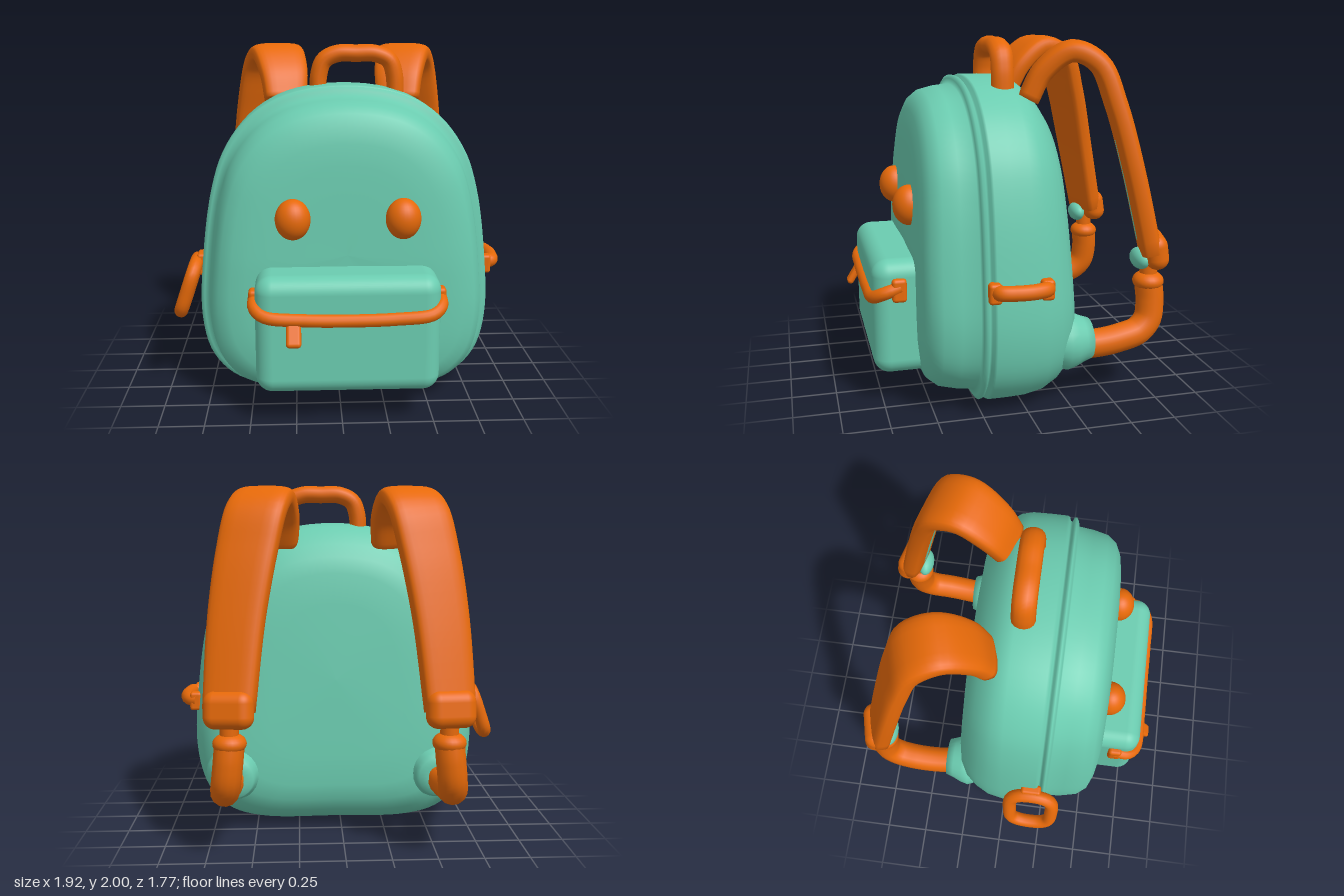
import * as THREE from 'three';
import { RoundedBoxGeometry } from 'three/addons/geometries/RoundedBoxGeometry.js';

const teal = new THREE.MeshStandardMaterial({ color: 0x6bccb0, side: THREE.DoubleSide });
teal.name = 'teal fabric';
const orange = new THREE.MeshStandardMaterial({ color: 0xe66909 });
orange.name = 'orange trim';
const V = (x, y, z) => new THREE.Vector3(x, y, z);
const CX = 0.035; // the bag's own middle line

// Skin over a list of closed rings, each with the same number of points.
function loft(rings) {
  const n = rings[0].length, pos = [], idx = [];
  rings.forEach(r => r.forEach(p => pos.push(p.x, p.y, p.z)));
  for (let i = 0; i < rings.length - 1; i++) {
    for (let j = 0; j < n; j++) {
      const a = i * n + j, c = i * n + (j + 1) % n;
      idx.push(a, a + n, c, c, a + n, c + n);
    }
  }
  const g = new THREE.BufferGeometry();
  g.setAttribute('position', new THREE.Float32BufferAttribute(pos, 3));
  g.setIndex(idx);
  g.computeVertexNormals();
  return g;
}

// Rounded flat band swept along a curve; width lies along the given axis, ends are capped.
function band(curve, axis, width, thick, steps = 36, sides = 24) {
  const stations = [[0, 0.01], [0, 0.8]];
  for (let i = 0; i <= steps; i++) stations.push([i / steps, 1]);
  stations.push([1, 0.8], [1, 0.01]);
  return loft(stations.map(([u, k]) => {
    const p = curve.getPoint(u), t = curve.getTangent(u);
    const w = axis.clone().addScaledVector(t, -t.dot(axis)).normalize();
    const n = t.clone().cross(w);
    const ring = [];
    for (let j = 0; j < sides; j++) {
      const a = -j / sides * Math.PI * 2, c = Math.cos(a), s = Math.sin(a);
      const q = v => Math.sign(v) * Math.pow(Math.abs(v), 0.6);
      ring.push(p.clone().addScaledVector(w, q(c) * width(u) / 2 * k).addScaledVector(n, q(s) * thick / 2 * k));
    }
    return ring;
  }));
}

const tube = (points, r, closed = false) =>
  new THREE.TubeGeometry(new THREE.CatmullRomCurve3(points, closed), 48, r, 14, closed);

// Main bag: one outline, inset and stepped from front to back.
function bodyGeometry() {
  const half = [[0.45, 0.012], [0.65, 0.075], [0.78, 0.22], [0.835, 0.45], [0.82, 0.8],
    [0.76, 1.2], [0.68, 1.43], [0.53, 1.62], [0.32, 1.74]];
  const pts = [V(0, 0.005, 0), ...half.map(([x, y]) => V(x, y, 0)), V(0, 1.785, 0),
    ...half.slice().reverse().map(([x, y]) => V(-x, y, 0))];
  const outline = new THREE.CatmullRomCurve3(pts, true).getPoints(96).slice(0, 96);
  const steps = [[0.568, 0.9], [0.572, 0.6], [0.573, 0.4], [0.566, 0.28], [0.55, 0.19], [0.52, 0.125],
    [0.465, 0.085], [0.37, 0.065], [0.275, 0.055], [0.268, 0.025], [0.255, 0.004], [0.24, 0.008],
    [0.232, 0.03], [0.222, 0.03], [0.214, 0.006], [0.2, 0], [0.1, 0], [0, 0.003], [-0.08, 0.02],
    [-0.15, 0.06], [-0.21, 0.115], [-0.255, 0.19], [-0.275, 0.28], [-0.285, 0.45], [-0.29, 0.9]];
  return loft(steps.map(([z, d]) => outline.map(p => {
    const y = 0.9 + (p.y - 0.9) * Math.max(0, 1 - d / 0.89);
    const back = (y - 0.9) * 0.07 * Math.min(1, Math.max(0, -z / 0.2));
    const front = Math.max(0, y - 0.85) * 0.04 * Math.min(1, Math.max(0, (z - 0.3) / 0.2));
    return V(CX + p.x * Math.max(0, 1 - d / 0.835), y, z + back - front);
  })));
}

export function createModel() {
  const root = new THREE.Group();
  root.name = 'backpack';
  const add = (name, geo, mat, x = 0, y = 0, z = 0, parent = root) => {
    const m = new THREE.Mesh(geo, mat);
    m.name = name;
    m.position.set(x, y, z);
    parent.add(m);
    return m;
  };

  add('body', bodyGeometry(), teal);
  add('frontPocket', new RoundedBoxGeometry(0.99, 0.65, 0.36, 6, 0.09), teal, 0.03, 0.515, 0.62);

  // Zip across the pocket, with end tabs and a pull
  add('pocketZip', tube([V(-0.468, 0.7, 0.65), V(-0.465, 0.67, 0.74), V(-0.41, 0.638, 0.79), V(-0.2, 0.62, 0.8),
    V(0.03, 0.615, 0.8), V(0.27, 0.62, 0.8), V(0.47, 0.638, 0.79), V(0.525, 0.67, 0.74), V(0.528, 0.7, 0.65)], 0.036), orange);
  for (const x of [-0.475, 0.535])
    add('zipEnd', new RoundedBoxGeometry(0.05, 0.13, 0.08, 3, 0.02), orange, x, 0.685, 0.66);
  const pull = add('zipPull', new RoundedBoxGeometry(0.08, 0.13, 0.04, 4, 0.019), orange, -0.26, 0.55, 0.835);
  pull.rotation.x = -0.55;

  // Eyes
  for (const x of [-0.26, 0.335])
    add('eye', new THREE.SphereGeometry(1, 28, 20), orange, x, 1.105, 0.57).scale.set(0.096, 0.112, 0.09);

  // Carry handle
  const handle = add('topHandle', tube([V(-0.11, 1.7, 0), V(-0.105, 1.83, 0), V(-0.075, 1.91, 0), V(0, 1.948, 0),
    V(0.11, 1.95, 0), V(0.22, 1.948, 0), V(0.3, 1.91, 0), V(0.33, 1.83, 0), V(0.338, 1.7, 0)], 0.05), orange, 0, 0, 0.04);
  handle.scale.z = 1.3;

  // Shoulder straps, each with buckle, collar, lower strap and anchor
  for (const s of [-1, 1]) {
    const strap = new THREE.Group();
    strap.name = s > 0 ? 'leftStrap' : 'rightStrap';
    root.add(strap);
    const zo = s > 0 ? 0.015 : -0.015;
    const P = (x, y, z) => V(CX + s * x, y, z + zo);
    const axis = V(1, 0, s * 0.28); // straps turn slightly outward
    const path = new THREE.CatmullRomCurve3([P(0.335, 1.67, -0.11), P(0.345, 1.82, -0.19), P(0.385, 1.93, -0.34),
      P(0.43, 1.865, -0.48), P(0.48, 1.65, -0.565), P(0.535, 1.3, -0.655), P(0.575, 0.83, -0.76)]);
    add('shoulderPad', band(path, axis, u => 0.25 + 0.03 * u + 0.07 * Math.sin(u * Math.PI), 0.12), orange, 0, 0, 0, strap);
    // Narrow lining strip under the left pad
    if (s > 0) {
      const strip = [0.77, 0.84, 0.91, 0.98].map(u => path.getPoint(u).add(V(-0.016, 0.012, 0.059)));
      add('padLining', band(new THREE.CatmullRomCurve3(strip), axis, () => 0.065, 0.009), teal, 0, 0, 0, strap);
    }
    const bx = CX + s * 0.575;
    const buckle = add('buckle', new RoundedBoxGeometry(0.27, 0.2, 0.13, 6, 0.064), orange, bx, 0.84, -0.785 + zo, strap);
    buckle.rotation.set(0.15, -0.24 * s, 0);
    add('buckleLining', new THREE.SphereGeometry(1, 20, 14), teal, bx, 0.79, -0.7 + zo, strap).scale.set(0.09, 0.06, 0.05);
    add('buckleLink', new THREE.CylinderGeometry(0.05, 0.05, 0.16, 16), orange, bx, 0.72, -0.755 + zo, strap);
    add('collar', new THREE.SphereGeometry(1, 24, 16), orange, bx, 0.655, -0.755 + zo, strap).scale.set(0.09, 0.058, 0.088);
    add('lowerStrap', tube([P(0.575, 0.66, -0.755), P(0.585, 0.55, -0.765), P(0.598, 0.44, -0.75), P(0.61, 0.375, -0.69),
      P(0.618, 0.345, -0.58), P(0.615, 0.325, -0.45), P(0.6, 0.32, -0.3)], 0.08), orange, 0, 0, 0, strap);
    // Flared fabric anchor at the bottom corner of the bag
    const anchor = add('strapAnchor', new THREE.LatheGeometry([[0.14, 0], [0.165, 0.06], [0.152, 0.11], [0.13, 0.16], [0.115, 0.205], [0.06, 0.205]]
      .map(([r, h]) => new THREE.Vector2(r, h)), 24), teal, CX + s * 0.59, 0.35, -0.18, strap);
    anchor.rotation.x = -Math.PI / 2;
  }

  // Left side: small bar loop between two pads
  for (const z of [0.215, -0.065])
    add('sideBarPad', new RoundedBoxGeometry(0.07, 0.11, 0.07, 3, 0.018), orange, 0.86, 0.74, z);
  add('sideBar', tube([V(0.85, 0.745, 0.2), V(0.9, 0.75, 0.19), V(0.918, 0.75, 0.12), V(0.918, 0.75, 0.02),
    V(0.895, 0.75, -0.05), V(0.85, 0.745, -0.07)], 0.041), orange);

  // Right side: hanging ring on a tab
  add('ringTab', new RoundedBoxGeometry(0.06, 0.13, 0.12, 3, 0.018), orange, -0.79, 0.755, 0.18);
  const L = (along, z) => V(-0.825 - 0.095 * along, 0.762 - 0.28 * along, z);
  add('hangingRing', tube([L(0, 0.12), L(0, 0.25), L(0.15, 0.305), L(0.55, 0.315), L(0.88, 0.3), L(1, 0.25),
    L(1, 0.13), L(0.88, 0.075), L(0.55, 0.06), L(0.15, 0.068)], 0.04, true), orange);

  return root;
}
